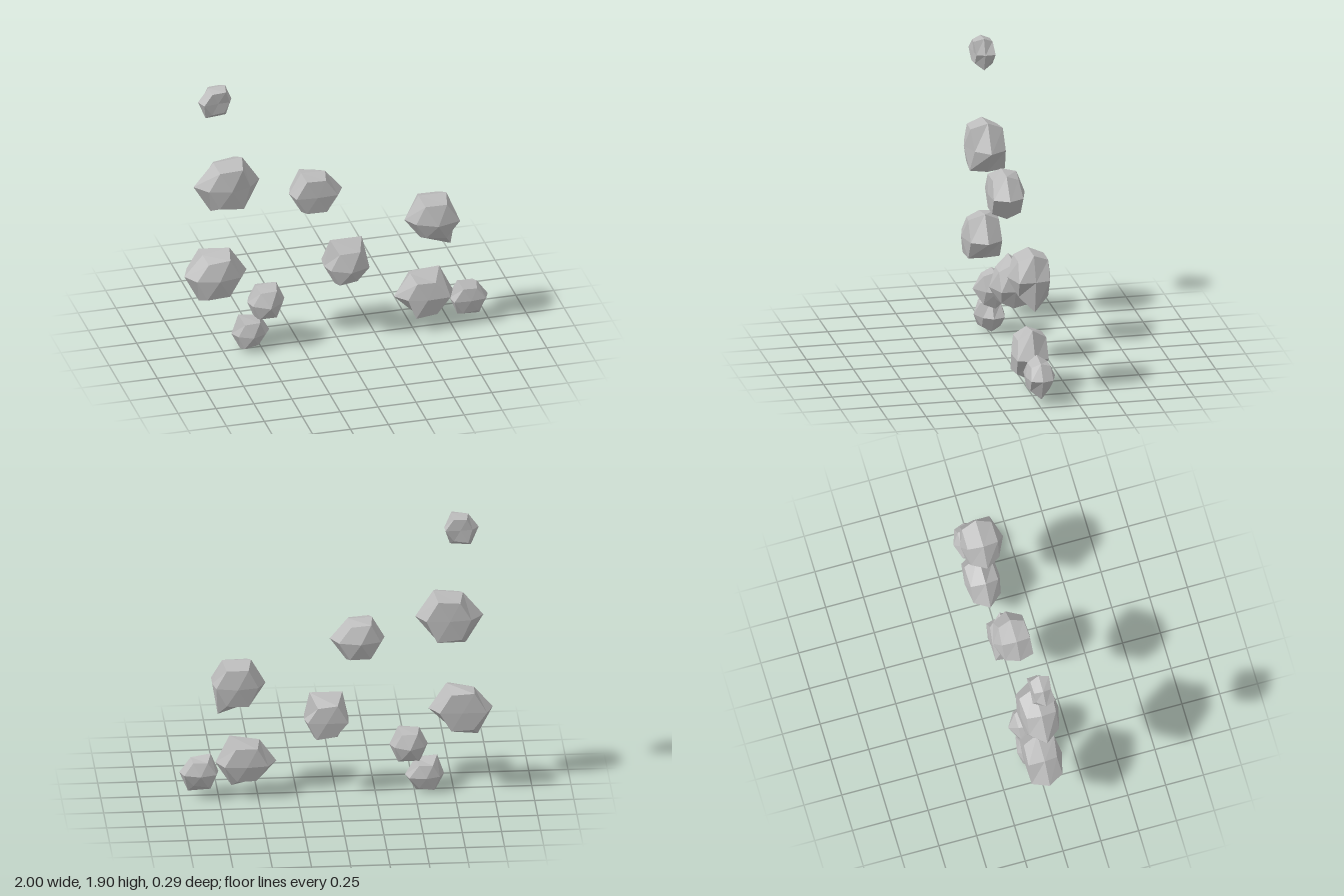
import * as THREE from 'three';

// Each rock: centre x, centre y, front tip z, back tip z,
// then the six girdle radii, anticlockwise from the right in 60 degree steps
const ROCKS = [
  [-0.79, 1.80, 0.04, -0.08, 0.10, 0.115, 0.105, 0.12, 0.14, 0.127],
  [-0.72, 1.195, 0.12, -0.13, 0.215, 0.20, 0.18, 0.22, 0.215, 0.18],
  [-0.15, 1.06, 0.09, -0.15, 0.19, 0.155, 0.16, 0.16, 0.16, 0.17],
  [0.635, 0.77, 0.14, -0.14, 0.155, 0.185, 0.185, 0.185, 0.16, 0.24],
  [0.065, 0.51, 0.13, -0.11, 0.14, 0.21, 0.21, 0.145, 0.15, 0.15],
  [-0.80, 0.56, 0.12, -0.12, 0.21, 0.195, 0.16, 0.20, 0.21, 0.15],
  [-0.465, 0.32, 0.12, -0.14, 0.125, 0.14, 0.13, 0.12, 0.14, 0.14],
  [-0.57, 0.11, 0.09, -0.11, 0.13, 0.13, 0.15, 0.12, 0.127, 0.12],
  [0.575, 0.23, 0.10, -0.13, 0.195, 0.21, 0.173, 0.195, 0.14, 0.185],
  [0.87, 0.17, 0.07, -0.12, 0.13, 0.115, 0.14, 0.12, 0.14, 0.15],
];
const MID_Z = -0.015;
const FLATTEN = 0.7;

function seeded(seed) {
  let s = seed;
  return () => (s = (s * 16807) % 2147483647) / 2147483647;
}

// Six-sided flattened ball: front tip, front ring, girdle, back ring, back tip
function rockGeometry([x, y, front, back, ...radii], rand) {
  const mean = radii.reduce((a, b) => a + b) / 6;
  const pos = [x, y, front];
  const ring = (radiusAt, side) => {
    for (let i = 0; i < 6; i++) {
      const r = radiusAt(i);
      const a = (i * Math.PI) / 3;
      pos.push(x + r * Math.cos(a), y + r * Math.sin(a), MID_Z + side * r * FLATTEN);
    }
  };
  const chipped = () => mean * Math.SQRT1_2 * (0.9 + 0.28 * rand());
  ring(chipped, 1);
  ring((i) => radii[i], 0);
  ring(chipped, -1);
  pos.push(x, y, back);

  const index = [];
  for (let i = 0; i < 6; i++) {
    const j = (i + 1) % 6;
    index.push(0, 1 + i, 1 + j);
    for (let r = 0; r < 2; r++) {
      const a = 1 + 6 * r + i, b = 1 + 6 * r + j;
      index.push(a, a + 6, b + 6, a, b + 6, b);
    }
    index.push(19, 13 + j, 13 + i);
  }
  const g = new THREE.BufferGeometry();
  g.setAttribute('position', new THREE.Float32BufferAttribute(pos, 3));
  g.setIndex(index);
  // Separate corners give every facet its own flat normal
  const flat = g.toNonIndexed();
  flat.computeVertexNormals();
  return flat;
}

export function createModel() {
  const group = new THREE.Group();
  group.name = 'rockCluster';
  const stone = new THREE.MeshStandardMaterial({ color: 0xbcbcbc });
  stone.name = 'stoneGrey';
  const rand = seeded(4271);
  ROCKS.forEach((rock, i) => {
    const mesh = new THREE.Mesh(rockGeometry(rock, rand), stone);
    mesh.name = `rock${i + 1}`;
    group.add(mesh);
  });
  return group;
}
